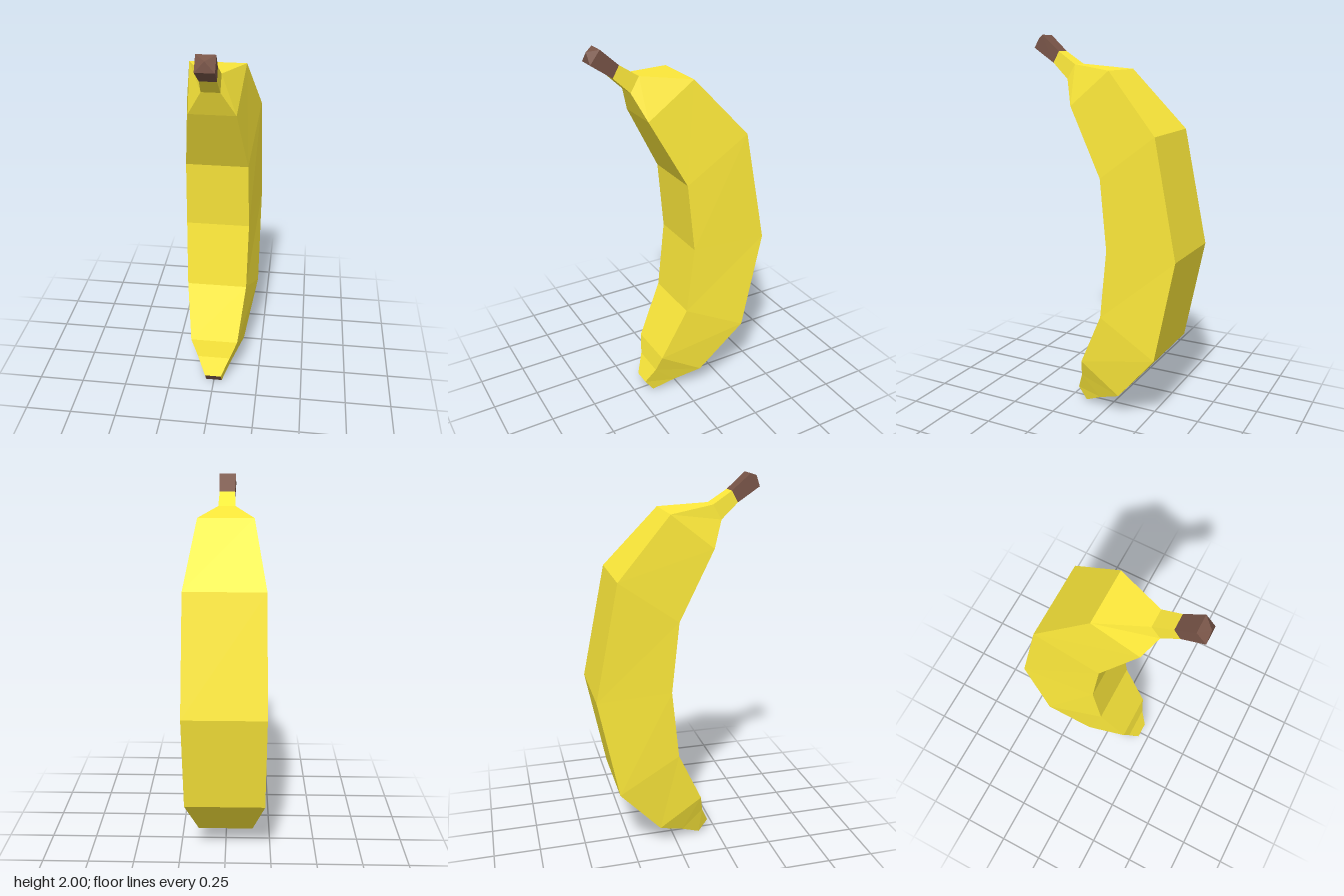
import * as THREE from 'three';

const YELLOW = 0xffeb3b, BROWN = 0x795548;

// Each section is a four-cornered ring: [front z, front y, front half width, back z, back y, back half width]
const TIP = [0.20, 0.07, 0.045, 0.15, 0.0, 0.045];
const NECK = [0.33, 1.86, 0.04, 0.297, 1.918, 0.04];
const BODY = [
  TIP,
  [0.155, 0.17, 0.09, 0.04, 0.06, 0.09],
  [0.135, 0.27, 0.13, -0.10, 0.125, 0.15],
  [0.0, 0.56, 0.163, -0.33, 0.395, 0.21],
  [-0.04, 0.93, 0.168, -0.437, 0.93, 0.21],
  [0.0, 1.30, 0.16, -0.315, 1.53, 0.20],
  [0.19, 1.65, 0.115, -0.04, 1.83, 0.14],
  [0.245, 1.78, 0.045, 0.20, 1.855, 0.045],
  NECK,
];
const STEM = [NECK, [0.44, 1.935, 0.045, 0.39, 2.0, 0.045]];

const corners = ([fz, fy, fw, bz, by, bw]) => [
  [fw, fy, fz], [-fw, fy, fz], [-bw, by, bz], [bw, by, bz],
];

function makeMesh(name, triangles, color) {
  const geometry = new THREE.BufferGeometry();
  geometry.setAttribute('position', new THREE.Float32BufferAttribute(triangles.flat(2), 3));
  geometry.computeVertexNormals();
  const mesh = new THREE.Mesh(geometry, new THREE.MeshStandardMaterial({ color, flatShading: true }));
  mesh.name = name;
  return mesh;
}

// Skin a row of sections with quads
function loft(sections) {
  const triangles = [];
  for (let i = 0; i + 1 < sections.length; i++) {
    const a = corners(sections[i]), b = corners(sections[i + 1]);
    for (let j = 0; j < 4; j++) {
      const k = (j + 1) % 4;
      triangles.push([a[k], a[j], b[j]], [a[k], b[j], b[k]]);
    }
  }
  return triangles;
}

export function createModel() {
  const model = new THREE.Group();
  model.name = 'banana';

  // Curved peel, wider along the back than the inner curve
  model.add(makeMesh('peel', loft(BODY), YELLOW));

  // Stem with a shallow pointed end
  const end = corners(STEM[1]);
  const apex = [0, 1.985, 0.438];
  const point = end.map((c, j) => [end[(j + 1) % 4], c, apex]);
  model.add(makeMesh('stem', [...loft(STEM), ...point], BROWN));

  // Flat dark blossom end
  const t = corners(TIP);
  model.add(makeMesh('blossomEnd', [[t[0], t[1], t[2]], [t[0], t[2], t[3]]], BROWN));

  return model;
}
